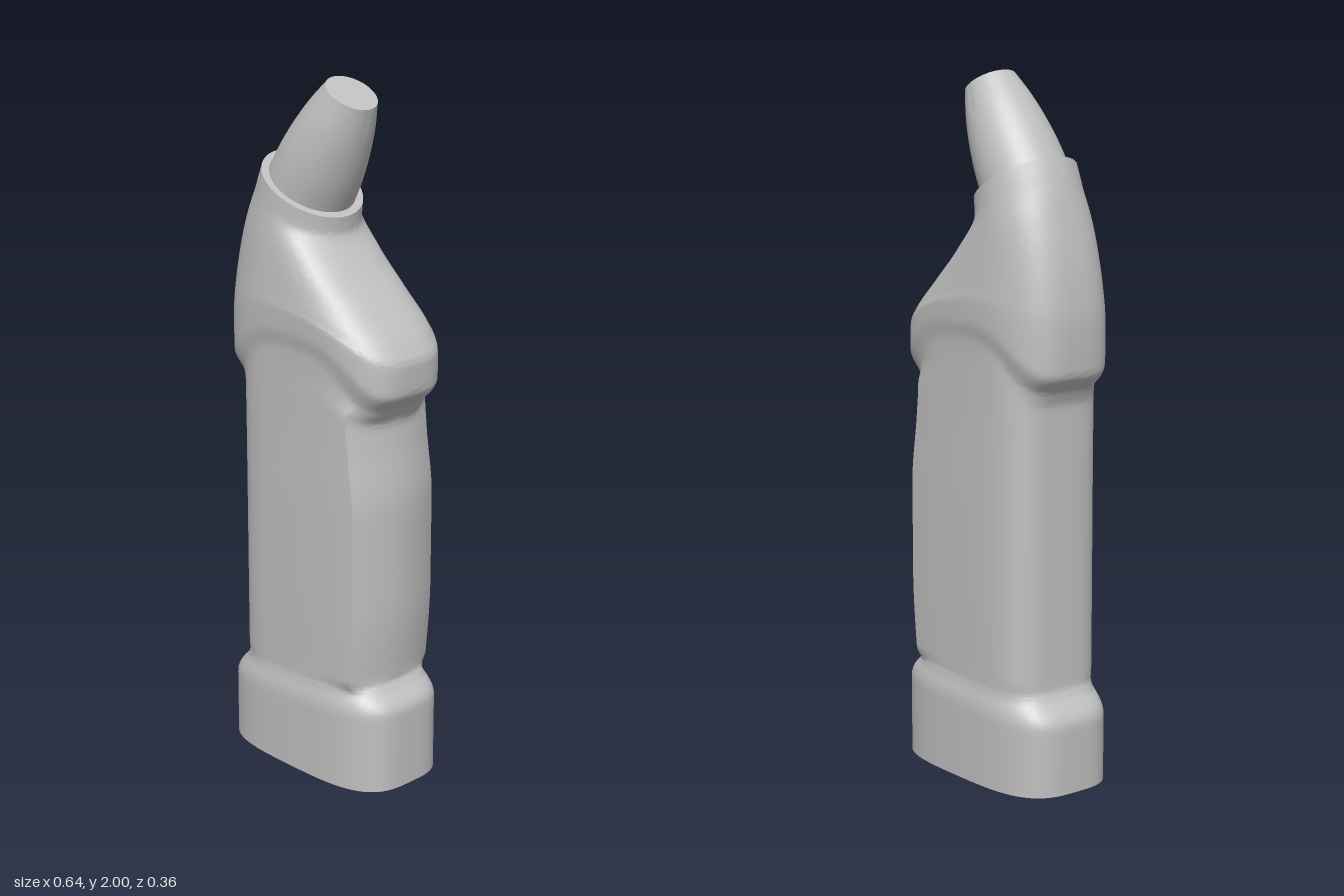
import * as THREE from 'three';
import { toCreasedNormals } from 'three/addons/utils/BufferGeometryUtils.js';

const SIDES = 96;
const STEPS = 8;

// Body sections: left y, left x, right y, right x, half depth, roundness exponent, grip amount
const SECTIONS = [
  [0.00, -0.319, 0.00, 0.319, 0.182, 3.3, 0],
  [0.19, -0.319, 0.23, 0.319, 0.182, 3.3, 0],
  [0.265, -0.268, 0.29, 0.272, 0.170, 3.5, 0],
  [0.29, -0.257, 0.31, 0.260, 0.167, 3.8, 0.6],
  [0.33, -0.256, 0.34, 0.262, 0.167, 4, 1],
  [0.55, -0.256, 0.55, 0.275, 0.168, 4, 1],
  [0.82, -0.256, 0.82, 0.275, 0.168, 4, 1],
  [1.00, -0.256, 1.00, 0.253, 0.167, 4, 1],
  [1.08, -0.256, 1.07, 0.245, 0.167, 4, 1],
  [1.13, -0.270, 1.12, 0.267, 0.169, 3.5, 0],
  [1.19, -0.315, 1.18, 0.315, 0.178, 3.3, 0],
  [1.32, -0.319, 1.255, 0.318, 0.180, 3.1, 0],
  [1.42, -0.310, 1.31, 0.290, 0.177, 3.0, 0],
  [1.52, -0.292, 1.40, 0.202, 0.171, 2.8, 0],
  [1.61, -0.269, 1.49, 0.106, 0.163, 2.5, 0],
  [1.71, -0.240, 1.575, 0.040, 0.153, 2, 0],
  [1.77, -0.216, 1.62, 0.043, 0.150, 2, 0],
];

// Smooth interpolation of the sections without overshoot
function sampleSections() {
  const last = SECTIONS.length - 1;
  const tangent = (i, k) => {
    if (i === 0 || i === last) return 0;
    const a = SECTIONS[i][k] - SECTIONS[i - 1][k];
    const b = SECTIONS[i + 1][k] - SECTIONS[i][k];
    return a * b > 0 ? (2 * a * b) / (a + b) : 0;
  };
  const rows = [];
  for (let i = 0; i < last; i++) {
    for (let s = 0; s < STEPS; s++) {
      const t = s / STEPS, t2 = t * t, t3 = t2 * t;
      rows.push(SECTIONS[i].map((p, k) =>
        p * (2 * t3 - 3 * t2 + 1) + SECTIONS[i + 1][k] * (3 * t2 - 2 * t3) +
        tangent(i, k) * (t3 - 2 * t2 + t) + tangent(i + 1, k) * (t3 - t2)));
    }
  }
  rows.push(SECTIONS[last]);
  return rows;
}

// One closed ring: rounded rectangle, blended on the right into a bowed grip with sharp edges
function ring([yl, xl, yr, xr, depth, n, grip], scale = 1, lift = 0) {
  const cx = (xl + xr) / 2, cy = (yl + yr) / 2, half = (xr - xl) / 2;
  const bow = 0.04;
  // Under the head the rings arch upward on the broad sides
  const arch = 0.14 * THREE.MathUtils.smoothstep(yl, 0.9, 1.13) *
    (1 - THREE.MathUtils.smoothstep(yl, 1.15, 1.55));
  const points = [];
  for (let j = 0; j < SIDES; j++) {
    const t = (j / SIDES) * Math.PI * 2;
    const c = Math.cos(t), s = Math.sin(t);
    const u = Math.sign(c) * Math.abs(c) ** (2 / n);
    const v = Math.sign(s) * Math.abs(s) ** (2 / n);
    let x = u * half, z = v * depth;
    if (grip > 0 && c > 1e-6) {
      const a = Math.atan2(Math.abs(s), c) / (Math.PI / 4);
      let gx, gz;
      if (a <= 1) {
        gx = half - bow * a * a;
        gz = 0.94 * depth * a;
      } else {
        gx = (half - bow) * (2 - a);
        gz = depth * (1 - 0.06 * (2 - a) ** 3);
      }
      x += (gx - x) * grip;
      z += (Math.sign(s) * gz - z) * grip;
    }
    const y = cy + (x / half) * (yr - yl) / 2 * scale + arch * s ** 4 + lift;
    points.push([cx + x * scale, y, z * scale]);
  }
  return points;
}

// Skin over a stack of rings
function loft(rings) {
  const index = [];
  for (let i = 0; i < rings.length - 1; i++) {
    for (let j = 0; j < SIDES; j++) {
      const k = (j + 1) % SIDES;
      const a = i * SIDES + j, b = i * SIDES + k;
      index.push(a, a + SIDES, b, b, a + SIDES, b + SIDES);
    }
  }
  const geometry = new THREE.BufferGeometry();
  geometry.setAttribute('position', new THREE.Float32BufferAttribute(rings.flat(2), 3));
  geometry.setIndex(index);
  return toCreasedNormals(geometry, 0.6);
}

export function createModel() {
  const group = new THREE.Group();
  const grey = new THREE.MeshStandardMaterial({ color: 0xc0c0c0 });
  grey.name = 'light grey';

  const add = (name, geometry) => {
    const mesh = new THREE.Mesh(geometry, grey);
    mesh.name = name;
    group.add(mesh);
    return mesh;
  };

  // Handle body with recessed underside and flat tilted collar
  const rows = sampleSections();
  const base = rows[0], collar = rows[rows.length - 1];
  add('body', loft([
    ring(base, 0.001, 0.045),
    ring(base, 0.7, 0.045),
    ring(base, 0.76, 0.035),
    ring(base, 0.87, 0),
    ...rows.map((row) => ring(row)),
    ring(collar, 0.001),
  ]));

  // Tapered nozzle standing on the collar
  const wall = new THREE.SplineCurve([
    [0.128, -0.01], [0.124, 0.07], [0.114, 0.15], [0.098, 0.23], [0.075, 0.308],
  ].map(([r, h]) => new THREE.Vector2(r, h))).getPoints(16);
  const profile = [...wall, new THREE.Vector2(0.0001, 0.308)];
  const nozzle = add('nozzle', toCreasedNormals(new THREE.LatheGeometry(profile, 64), 0.6));
  nozzle.position.set(-0.087, 1.695, 0);
  nozzle.rotation.z = -0.525;

  return group;
}
